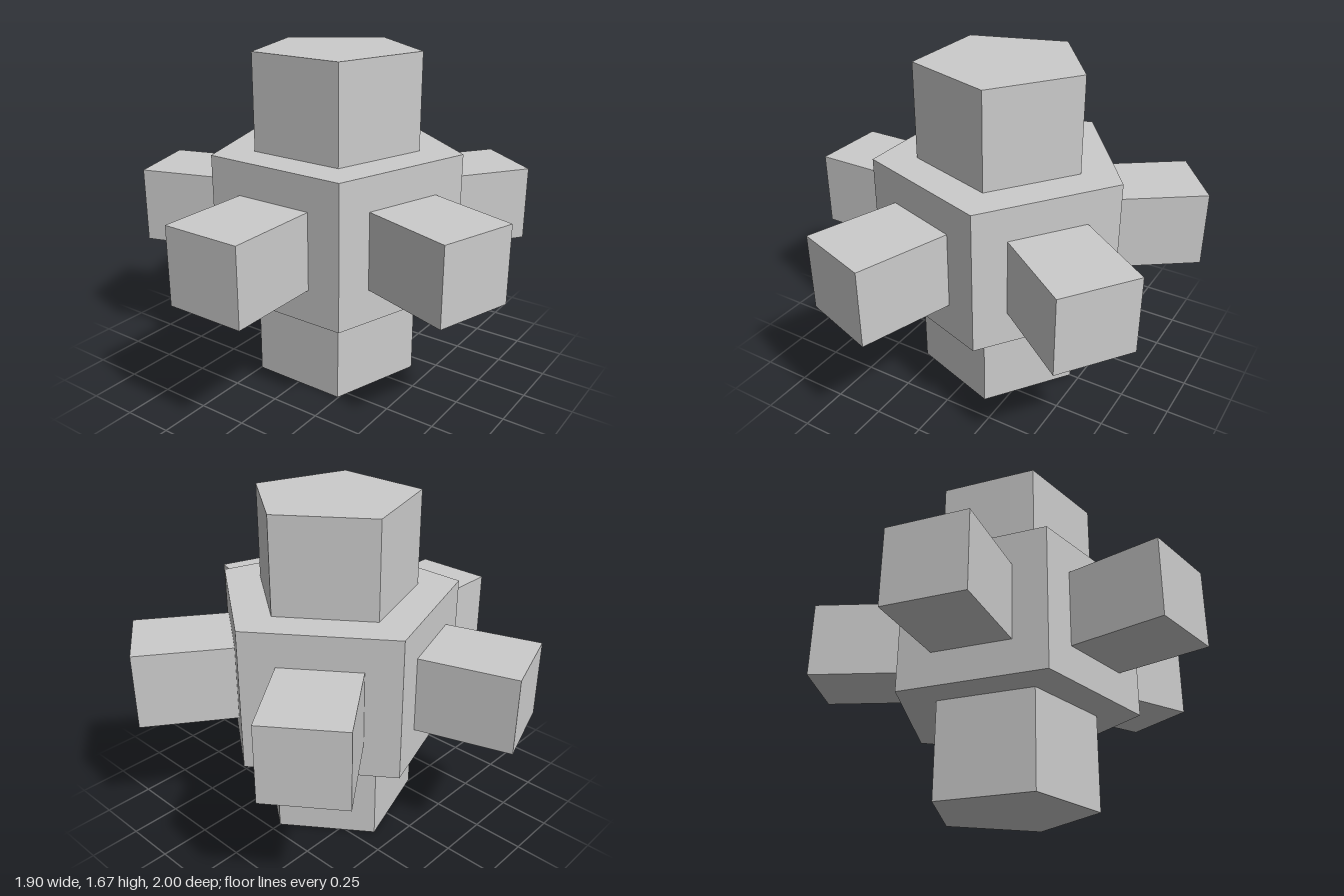
import * as THREE from 'three';

const CENTRE_X = 0.0325;
const MID_Y = 0.8375;
const SIDES = 5;

export function createModel() {
  const group = new THREE.Group();
  const material = new THREE.MeshStandardMaterial({ color: 0xcccccc, flatShading: true });

  const add = (name, geometry, y) => {
    const mesh = new THREE.Mesh(geometry, material);
    mesh.name = name;
    mesh.position.set(CENTRE_X, y, 0);
    group.add(mesh);
    return mesh;
  };

  // Pentagonal prism with one corner pointing to +x
  const prism = (radius, height) =>
    new THREE.CylinderGeometry(radius, radius, height, SIDES, 1, false, Math.PI / 2);

  // Central body
  const bodyRadius = 0.631, bodyHeight = 0.718;
  add('body', prism(bodyRadius, bodyHeight), MID_Y);

  // Smaller prisms above and below the body
  const stubHeight = MID_Y - bodyHeight / 2;
  add('topStub', prism(0.419, stubHeight), 2 * MID_Y - stubHeight / 2);
  add('bottomStub', prism(0.419, stubHeight), stubHeight / 2);

  // One square arm standing out from the middle of each side face
  const inner = bodyRadius * Math.cos(Math.PI / SIDES) - 0.005;
  const outer = 0.986;
  const armGeometry = new THREE.BoxGeometry(outer - inner, 0.382, 0.4);
  armGeometry.translate((inner + outer) / 2, 0, 0);
  for (let i = 0; i < SIDES; i++) {
    const arm = add(`arm${i + 1}`, armGeometry, MID_Y);
    arm.rotation.y = ((i + 0.5) * 2 * Math.PI) / SIDES;
  }

  return group;
}
